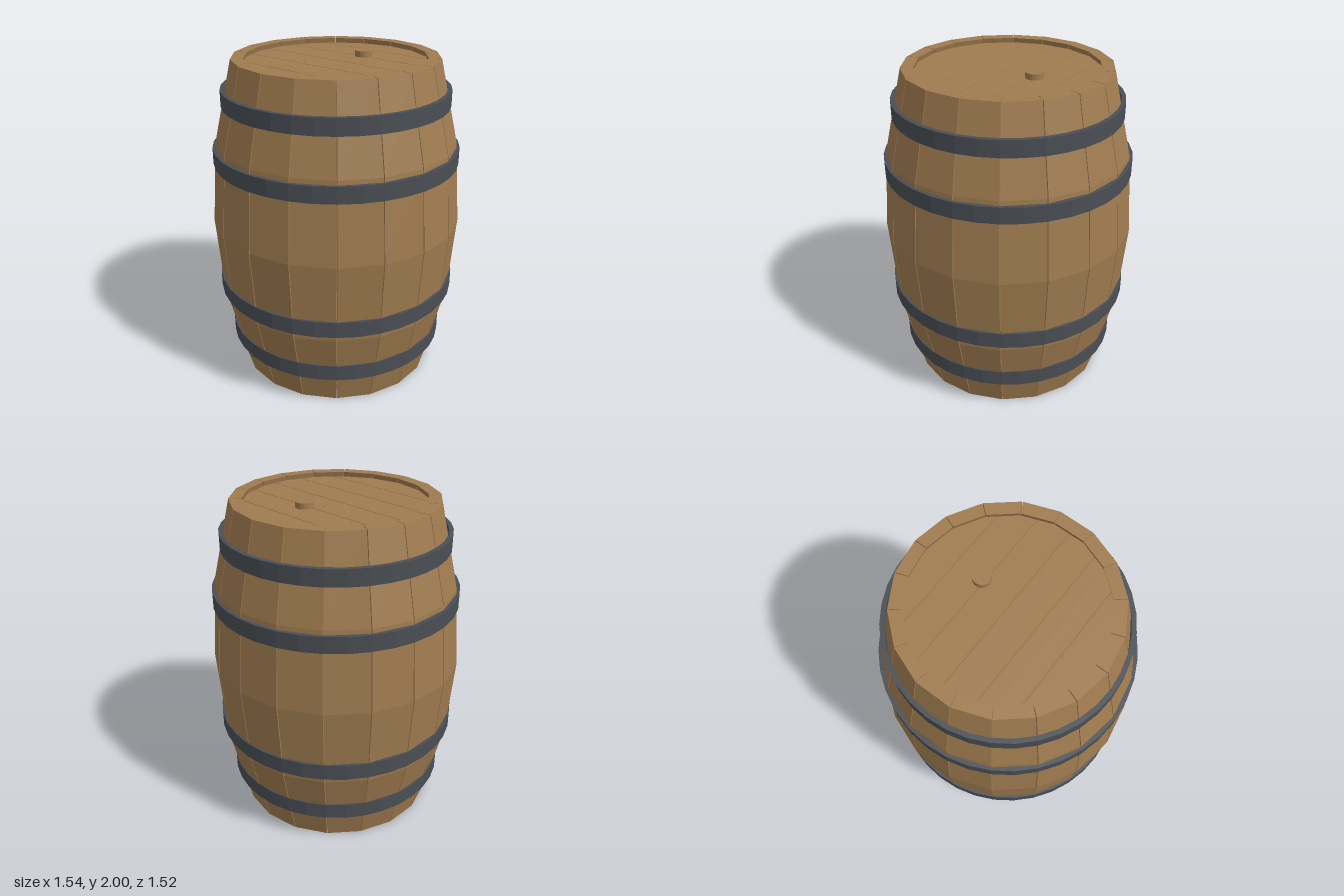
import * as THREE from 'three';

const STAVES = 18;
const STEP = (Math.PI * 2) / STAVES;
const RIM_Y = 1.995;
const WALL = 0.075;

// Bulging outer radius of the barrel, t from 0 (bottom) to 1 (top)
const bulge = (t) => 0.615 + 0.155 * (1 - (2 * t - 1) ** 2);

// A box bent into one tapered, bowed stave, facing +z
function staveGeometry() {
  const geo = new THREE.BoxGeometry(1, 1, 1, 1, 4, 1);
  const pos = geo.attributes.position;
  for (let i = 0; i < pos.count; i++) {
    const t = pos.getY(i) + 0.5;
    const angle = pos.getX(i) * (STEP - 0.007);
    const r = bulge(t) - (pos.getZ(i) > 0 ? 0 : WALL);
    pos.setXYZ(i, r * Math.sin(angle), t * RIM_Y, r * Math.cos(angle));
  }
  geo.computeVertexNormals();
  return geo;
}

// A board of the round lid between two x positions
function boardGeometry(x0, x1, radius, thickness) {
  const points = [];
  const a0 = Math.acos(x0 / radius);
  const a1 = Math.acos(x1 / radius);
  const n = 6;
  for (let side = 1; side >= -1; side -= 2) {
    for (let i = 0; i <= n; i++) {
      const k = side > 0 ? i / n : 1 - i / n;
      const a = a1 + (a0 - a1) * k;
      points.push(new THREE.Vector2(radius * Math.cos(a), side * radius * Math.sin(a)));
    }
  }
  const geo = new THREE.ExtrudeGeometry(new THREE.Shape(points), { depth: thickness, bevelEnabled: false });
  return geo.rotateX(-Math.PI / 2);
}

// A flat iron band with a rectangular section
function hoopGeometry(radius) {
  const inner = radius - 0.027;
  const h = 0.05;
  const profile = [[inner, -h], [radius, -h], [radius, h], [inner, h], [inner, -h]];
  return new THREE.LatheGeometry(profile.map(([r, y]) => new THREE.Vector2(r, y)), 36);
}

export function createModel() {
  const wood = new THREE.MeshStandardMaterial({ color: 0xa07c50 });
  const iron = new THREE.MeshStandardMaterial({ color: 0x4a4f55 });
  wood.flatShading = true;
  iron.flatShading = true;

  const barrel = new THREE.Group();
  barrel.name = 'barrel';
  const add = (name, geo, mat, x = 0, y = 0, z = 0) => {
    const mesh = new THREE.Mesh(geo, mat);
    mesh.name = name;
    mesh.position.set(x, y, z);
    barrel.add(mesh);
    return mesh;
  };

  // Ring of staves
  const stave = staveGeometry();
  for (let i = 0; i < STAVES; i++) {
    add('stave', stave, wood).rotation.y = i * STEP;
  }

  // Iron hoops
  for (const [y, radius] of [[0.24, 0.685], [0.587, 0.75], [1.42, 0.75], [1.77, 0.685]]) {
    add('hoop', hoopGeometry(radius), iron, 0, y);
  }

  // Recessed lid made of six boards
  const lidRadius = 0.56;
  const width = (lidRadius * 2) / 6;
  for (let i = 0; i < 6; i++) {
    const x0 = -lidRadius + i * width + (i > 0 ? 0.002 : 0);
    const x1 = -lidRadius + (i + 1) * width - (i < 5 ? 0.002 : 0);
    add('lidBoard', boardGeometry(x0, x1, lidRadius, 0.04), wood, 0, 1.925);
  }

  // Recessed bottom and the bung in the lid
  add('bottom', new THREE.CylinderGeometry(0.56, 0.56, 0.04, 36), wood, 0, 0.045);
  add('bung', new THREE.CylinderGeometry(0.052, 0.052, 0.05, 24), wood, 0.205, 1.975, 0.045);

  return barrel;
}
